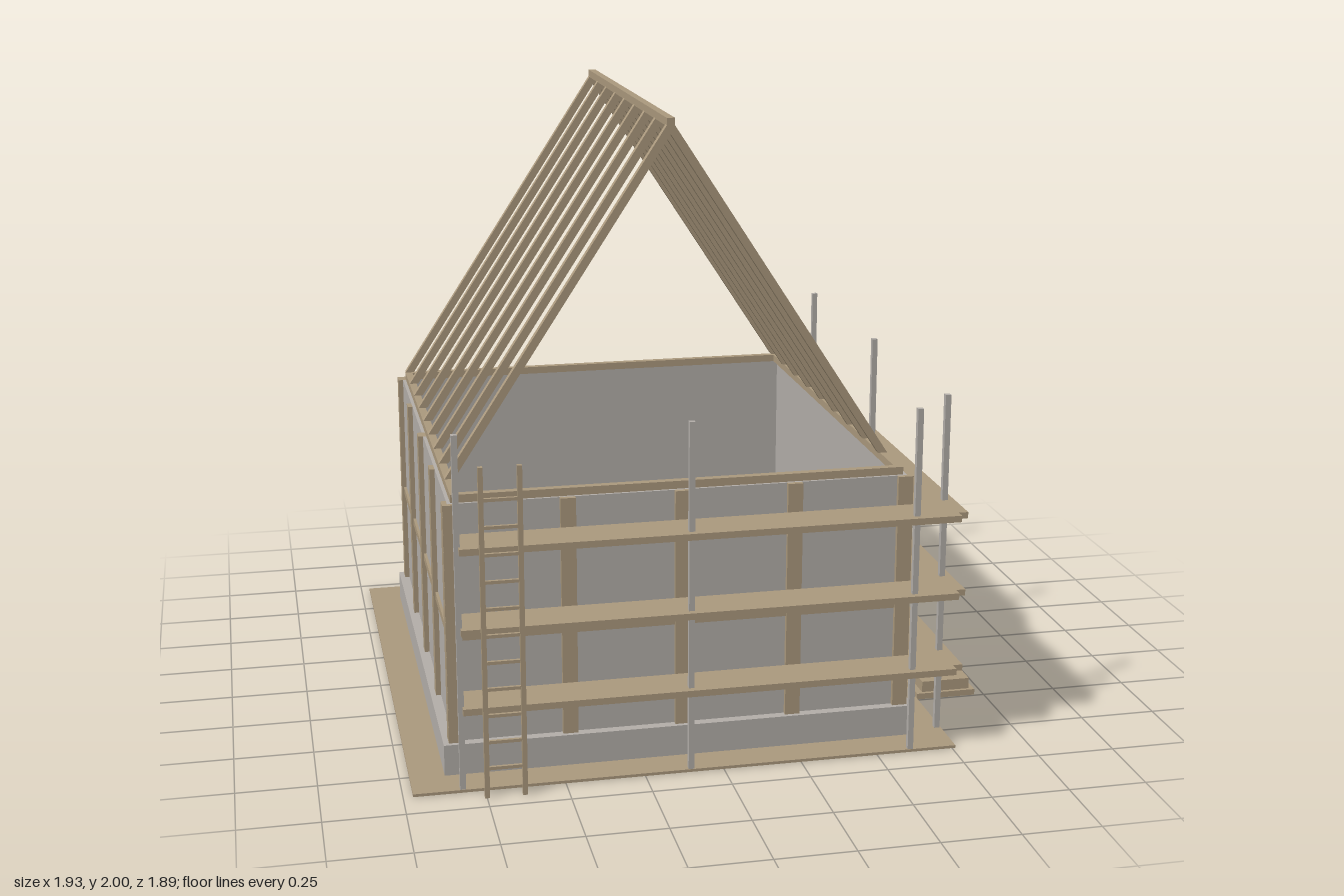
import * as THREE from 'three';

export function createModel() {
  const model = new THREE.Group();
  const mat = (name, color) => {
    const m = new THREE.MeshStandardMaterial({ color });
    m.name = name;
    return m;
  };
  const wood = mat('wood', 0xac9a7e);
  const plaster = mat('grey plaster', 0xb4afaa);

  // Box given by its low and high limits on each axis
  const box = (name, material, [x0, x1], [y0, y1], [z0, z1], parent = model) => {
    const mesh = new THREE.Mesh(new THREE.BoxGeometry(x1 - x0, y1 - y0, z1 - z0), material);
    mesh.position.set((x0 + x1) / 2, (y0 + y1) / 2, (z0 + z1) / 2);
    mesh.name = name;
    parent.add(mesh);
    return mesh;
  };
  const around = (c, size) => [c - size / 2, c + size / 2];
  const group = (name, parent = model) => {
    const g = new THREE.Group();
    g.name = name;
    parent.add(g);
    return g;
  };

  // Ground slab
  box('groundSlab', wood, [-0.97, 0.76], [0.001, 0.01], [-0.943, 0.891]);

  // House centred on its own origin
  const house = group('house');
  house.position.set(-0.105, 0, -0.024);

  // Rectangular ring extruded upwards, from outer half sizes and a width
  const ring = (name, material, hx, hz, width, y0, y1) => {
    const rect = (path, a, b) =>
      path.moveTo(-a, -b).lineTo(a, -b).lineTo(a, b).lineTo(-a, b).closePath();
    const shape = rect(new THREE.Shape(), hx, hz);
    shape.holes.push(rect(new THREE.Path(), hx - width, hz - width));
    const geo = new THREE.ExtrudeGeometry(shape, { depth: y1 - y0, bevelEnabled: false });
    geo.rotateX(-Math.PI / 2);
    const mesh = new THREE.Mesh(geo, material);
    mesh.position.y = y0;
    mesh.name = name;
    house.add(mesh);
  };
  ring('foundation', plaster, 0.757, 0.804, 0.081, 0, 0.11);
  ring('walls', plaster, 0.724, 0.774, 0.018, 0.11, 0.88);
  ring('wallPlate', wood, 0.713, 0.765, 0.025, 0.88, 0.905);

  // Timber posts and middle rail on all four faces
  for (const s of [-1, 1]) {
    const frontFrame = group('crossFrame', house);
    const sideFrame = group('sideFrame', house);
    for (let i = -2; i <= 2; i++) {
      box('post', wood, around(i * 0.3575, 0.048), [0.11, 0.88], around(s * 0.775, 0.03), frontFrame);
      box('post', wood, around(s * 0.725, 0.03), [0.11, 0.88], around(i * 0.3825, 0.048), sideFrame);
    }
    box('middleRail', wood, [-0.71, 0.71], around(0.455, 0.025), around(s * 0.77, 0.026), frontFrame);
    box('middleRail', wood, around(s * 0.72, 0.026), around(0.455, 0.025), [-0.76, 0.76], sideFrame);
  }

  // Roof: nine rafter pairs cut flat on the plate, and a ridge beam
  const roof = group('roofFrame');
  for (const s of [-1, 1]) {
    const profile = new THREE.Shape();
    profile.moveTo(s * 0.712, 0.905).lineTo(0, 1.997).lineTo(0, 1.95).lineTo(s * 0.682, 0.905).closePath();
    const geo = new THREE.ExtrudeGeometry(profile, { depth: 0.024, bevelEnabled: false });
    for (let i = 0; i < 9; i++) {
      const rafter = new THREE.Mesh(geo, wood);
      rafter.position.set(-0.105, 0, -0.802 + i * 0.1695);
      rafter.name = 'rafter';
      roof.add(rafter);
    }
  }
  box('ridgeBeam', wood, around(-0.105, 0.025), [1.975, 2], [-0.802, 0.578], roof);

  // Scaffold along the front and the left side
  const scaffold = group('scaffold');
  const poles = [
    [-0.817, 0.88], [-0.104, 0.88], [0.61, 0.88],
    [0.747, 0.74], [0.747, -0.024], [0.747, -0.787],
  ];
  for (const [x, z] of poles) {
    box('pole', plaster, around(x, 0.018), [0.01, 1.133], around(z, 0.018), scaffold);
  }
  for (const y of [0.27, 0.523, 0.778]) {
    box('frontPlank', wood, [-0.813, 0.747], around(y, 0.021), [0.768, 0.91], scaffold);
    box('sidePlank', wood, [0.636, 0.778], around(y, 0.02), [-0.79, 0.878], scaffold);
  }

  // Ladder
  const ladder = group('ladder');
  for (const x of [-0.749, -0.633]) {
    box('ladderRail', wood, around(x, 0.015), [0, 1.047], [0.927, 0.943], ladder);
  }
  for (let i = 0; i < 11; i++) {
    box('rung', wood, [-0.745, -0.637], around(0.095 + i * 0.085, 0.01), [0.93, 0.94], ladder);
  }

  // Boards stacked beside the house
  const boards = group('boardStacks');
  box('lowStack', wood, [0.76, 0.965], [0.004, 0.024], [-0.127, 0.247], boards);
  box('stackBase', wood, [0.762, 0.965], [0.004, 0.024], [0.338, 0.503], boards);
  box('stackTop', wood, [0.783, 0.948], [0.024, 0.061], [0.352, 0.491], boards);

  return model;
}
